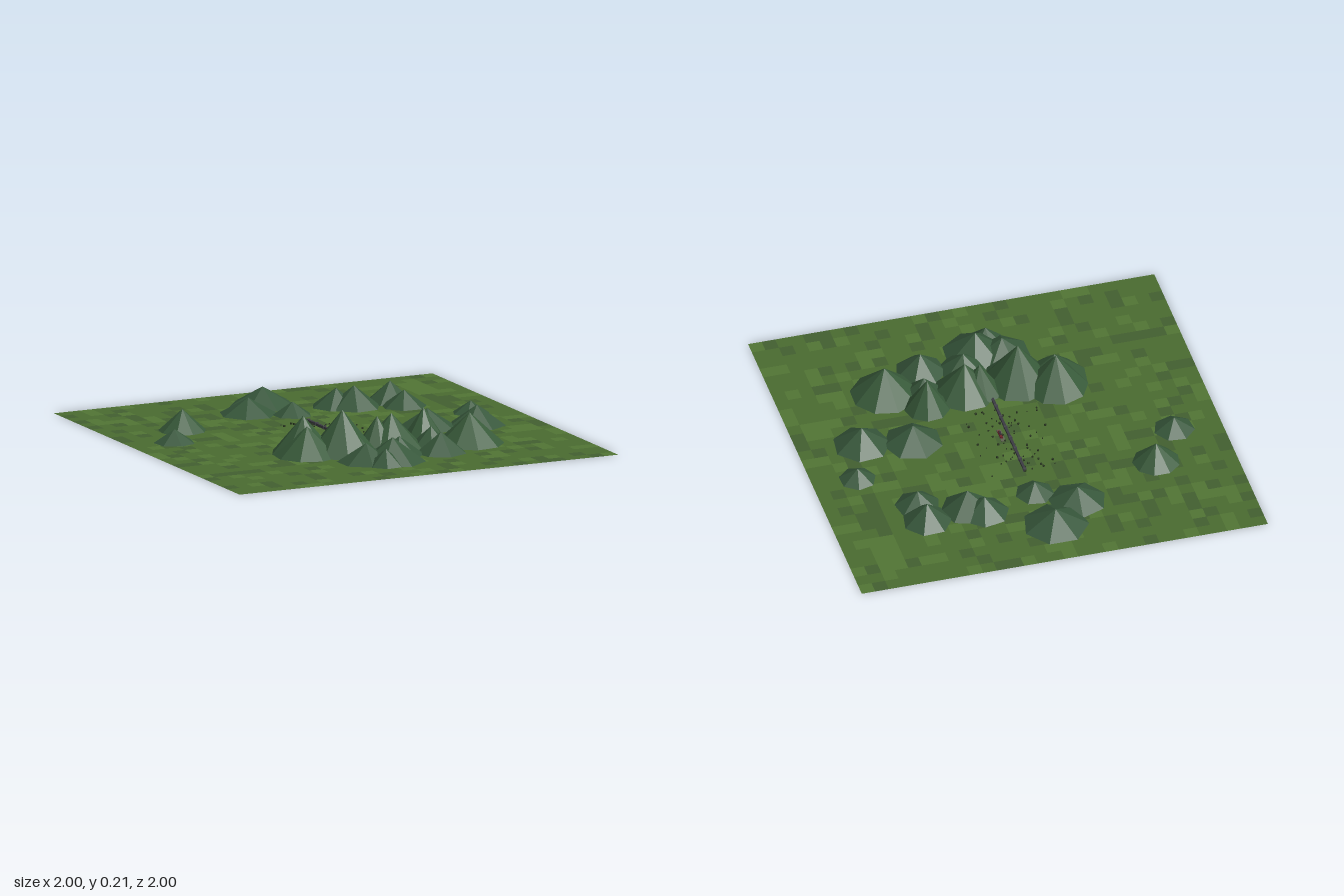
import * as THREE from 'three';
import { mergeGeometries } from 'three/addons/utils/BufferGeometryUtils.js';

const mat = (color, side = THREE.FrontSide) =>
  new THREE.MeshStandardMaterial({ color, flatShading: true, side });

// Small seeded generator
function seeded(seed) {
  return () => {
    seed = (seed * 1664525 + 1013904223) % 4294967296;
    return seed / 4294967296;
  };
}

function addMesh(group, name, geometry, material) {
  const mesh = new THREE.Mesh(geometry, material);
  mesh.name = name;
  group.add(mesh);
  return mesh;
}

// Ground: a flat square of tiles in three greens
function makeGround() {
  const ground = new THREE.Group();
  ground.name = 'ground';
  const n = 30, size = 2 / n, rand = seeded(7);
  const shades = [[], [], []];
  for (let i = 0; i < n; i++) {
    for (let j = 0; j < n; j++) {
      const r = rand();
      const tile = new THREE.PlaneGeometry(size, size).rotateX(-Math.PI / 2)
        .translate(-1 + (i + 0.5) * size, 0, -1 + (j + 0.5) * size);
      shades[r < 0.62 ? 0 : r < 0.82 ? 1 : 2].push(tile);
    }
  }
  const colors = [0x4a6b30, 0x517534, 0x425f30];
  const names = ['grass', 'lightGrass', 'darkGrass'];
  shades.forEach((tiles, k) =>
    addMesh(ground, names[k], mergeGeometries(tiles), mat(colors[k], THREE.DoubleSide)));
  return ground;
}

// Hills: x, z, radius, height
const LOW_HILLS = [
  [-0.03, -0.73, 0.16, 0.09], [-0.18, -0.58, 0.14, 0.08], [0, -0.47, 0.095, 0.065],
  [0.27, -0.55, 0.12, 0.09], [0.34, -0.5, 0.13, 0.105], [0.55, -0.54, 0.12, 0.1],
  [0.56, -0.41, 0.11, 0.08], [-0.77, -0.17, 0.1, 0.065], [0.78, -0.14, 0.09, 0.06],
  [0.45, 0.065, 0.145, 0.095], [0.69, 0.11, 0.14, 0.098], [0.3, 0.41, 0.1, 0.09],
  [0.27, 0.58, 0.125, 0.1], [0.07, 0.54, 0.12, 0.09], [-0.14, 0.61, 0.14, 0.09],
  [-0.02, 0.65, 0.16, 0.115], [-0.09, 0.72, 0.09, 0.08], [-0.1, 0.47, 0.08, 0.08],
];
const PEAKS = [
  [-0.62, -0.39, 0.115, 0.105], [-0.32, 0.3, 0.155, 0.18], [-0.33, 0.36, 0.16, 0.14],
  [-0.155, 0.385, 0.17, 0.21], [0.11, 0.37, 0.155, 0.165], [0.04, 0.36, 0.11, 0.155],
  [0.315, 0.3, 0.11, 0.16], [0.48, 0.46, 0.165, 0.15],
];

function makeHills(name, list, sides, color) {
  const hills = new THREE.Group();
  hills.name = name;
  const material = mat(color, THREE.DoubleSide);
  list.forEach(([x, z, r, h], i) => {
    const cone = new THREE.ConeGeometry(r, h, sides, 1, true);
    const hill = addMesh(hills, 'hill', cone, material);
    hill.position.set(x, h / 2, z);
    hill.rotation.y = i * 0.37;
  });
  return hills;
}

// Low wall with posts along the middle
function makeWall() {
  const wall = new THREE.Group();
  wall.name = 'wall';
  const length = 0.6;
  addMesh(wall, 'wallBar', new THREE.BoxGeometry(0.012, 0.012, length), mat(0x3b3b42))
    .position.set(0, 0.006, 0);
  const post = new THREE.BoxGeometry(0.016, 0.016, 0.01);
  for (let i = 0; i <= 7; i++) {
    addMesh(wall, 'wallPost', post, mat(0x45454c)).position.set(0, 0.008, -0.295 + i * 0.0843);
  }
  return wall;
}

// Scattered pebbles on both sides of the wall
function makePebbles() {
  const rand = seeded(21), parts = [];
  for (let i = 0; i < 75; i++) {
    const s = 0.004 + rand() * 0.005;
    const x = (rand() + rand() - 1) * 0.24, z = -0.3 + rand() * 0.5;
    parts.push(new THREE.BoxGeometry(s, s, s).rotateY(rand() * 3).translate(x, s / 2, z));
  }
  return mergeGeometries(parts);
}

// Tiny red marker beside the wall
function makeMarker() {
  const marker = new THREE.Group();
  marker.name = 'marker';
  addMesh(marker, 'markerBody', new THREE.BoxGeometry(0.012, 0.012, 0.05), mat(0x6b2328))
    .position.y = 0.008;
  addMesh(marker, 'markerTop', new THREE.BoxGeometry(0.008, 0.008, 0.022), mat(0x3a3038))
    .position.y = 0.018;
  addMesh(marker, 'markerBase', new THREE.BoxGeometry(0.022, 0.004, 0.09), mat(0x5d6150))
    .position.set(-0.004, 0.002, 0);
  marker.position.set(0.04, 0, -0.005);
  return marker;
}

export function createModel() {
  const model = new THREE.Group();
  model.name = 'landscape';
  model.add(
    makeGround(),
    makeHills('lowHills', LOW_HILLS, 7, 0x37573b),
    makeHills('peaks', PEAKS, 9, 0x385a3a),
    makeWall(),
    makeMarker(),
  );
  addMesh(model, 'pebbles', makePebbles(), mat(0x2c3a22));
  return model;
}
